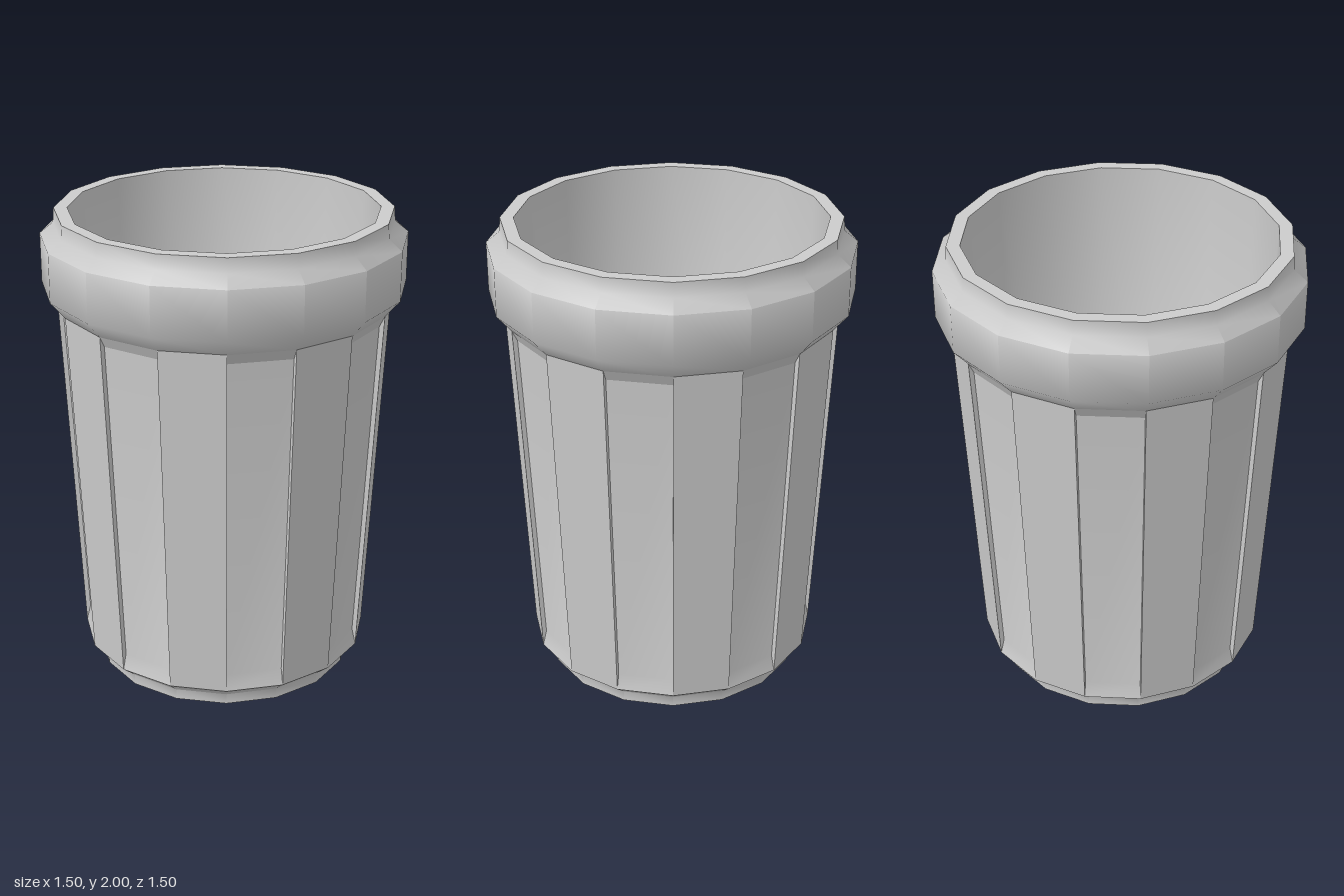
import * as THREE from 'three';
import { toCreasedNormals } from 'three/addons/utils/BufferGeometryUtils.js';

const SIDES = 16;
const STEP = (Math.PI * 2) / SIDES;
const CREASE = 0.9;

// Wall: lower and upper radius and height, and the sunken panels' inset
const WALL = { y0: 0.1, r0: 0.615, y1: 1.62, r1: 0.69 };
const PANEL = { y0: 0.17, y1: 1.575, depth: 0.02 };

const wallRadius = (y) =>
  THREE.MathUtils.mapLinear(y, WALL.y0, WALL.y1, WALL.r0, WALL.r1);

const ring = (index, radius, y) =>
  [Math.sin(index * STEP) * radius, y, Math.cos(index * STEP) * radius];

function lathe(profile) {
  const points = profile.map(([r, y]) => new THREE.Vector2(r, y));
  return toCreasedNormals(new THREE.LatheGeometry(points, SIDES), CREASE);
}

// Alternating flush and sunken flat panels around the tapered wall
function panelledWall() {
  const positions = [];
  const quad = (a, b, c, d) => positions.push(...a, ...b, ...c, ...a, ...c, ...d);
  for (let i = 0; i < SIDES; i++) {
    const outer = [
      ring(i, WALL.r0, WALL.y0), ring(i + 1, WALL.r0, WALL.y0),
      ring(i + 1, WALL.r1, WALL.y1), ring(i, WALL.r1, WALL.y1),
    ];
    if (i % 2) {
      quad(...outer);
      continue;
    }
    const low = wallRadius(PANEL.y0) - PANEL.depth;
    const high = wallRadius(PANEL.y1) - PANEL.depth;
    const inner = [
      ring(i, low, PANEL.y0), ring(i + 1, low, PANEL.y0),
      ring(i + 1, high, PANEL.y1), ring(i, high, PANEL.y1),
    ];
    quad(...inner);
    // Narrow walls and sloped ends of the recess
    for (let k = 0; k < 4; k++) {
      const n = (k + 1) % 4;
      quad(outer[k], outer[n], inner[n], inner[k]);
    }
  }
  const geometry = new THREE.BufferGeometry();
  geometry.setAttribute('position', new THREE.Float32BufferAttribute(positions, 3));
  return toCreasedNormals(geometry, 0.3);
}

export function createModel() {
  const group = new THREE.Group();
  group.name = 'cup';
  const material = new THREE.MeshStandardMaterial({ color: 0xcccccc });
  const add = (name, geometry) => {
    const mesh = new THREE.Mesh(geometry, material);
    mesh.name = name;
    group.add(mesh);
  };

  // Stepped foot with closed underside
  add('foot', lathe([[0, 0], [0.55, 0], [0.55, 0.045], [WALL.r0, WALL.y0]]));
  add('panelledWall', panelledWall());
  // Thick band below the lip, ending in the flat lip
  add('rimBand', lathe([
    [WALL.r1, WALL.y1], [0.75, 1.69], [0.75, 1.895], [0.695, 1.94], [0.69, 2], [0.635, 2],
  ]));
  // Inside wall, bevelled into the floor
  add('interior', lathe([[0.635, 2], [0.59, 0.18], [0.53, 0.1], [0, 0.1]]));
  return group;
}
